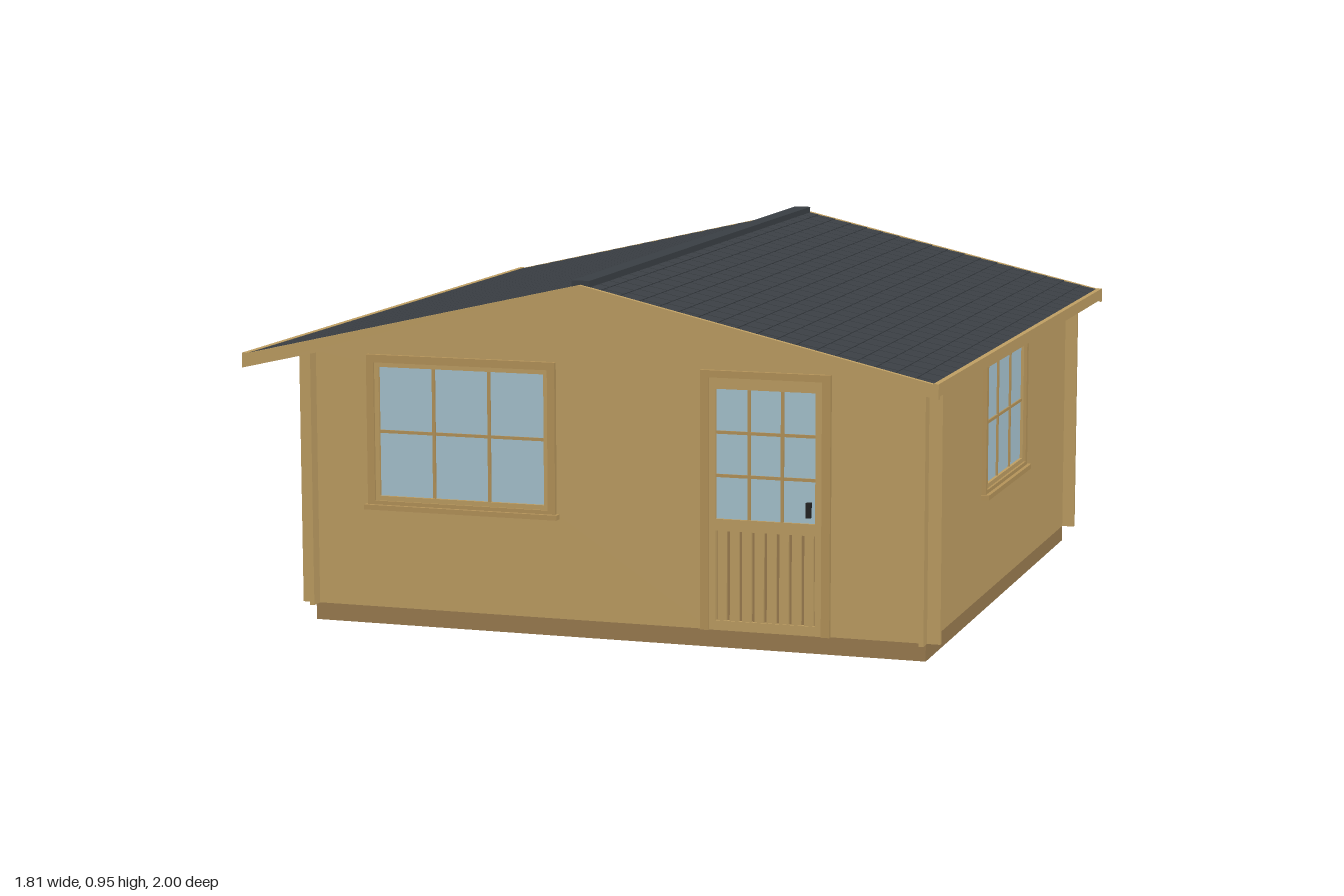
import * as THREE from 'three';
import { mergeGeometries } from 'three/addons/utils/BufferGeometryUtils.js';

const mat = (color) => new THREE.MeshStandardMaterial({ color });
const WOOD = mat(0xbf9f63), TRIM = mat(0xb5945a), BASE = mat(0x9b7c50), FLOOR = mat(0x6b5536);
const SHINGLE = mat(0x3a3f44), FELT = mat(0x2b2f33), GLASS = mat(0xa8c5d1), METAL = mat(0x222222);

const W = 0.823, T = 0.013, LOG = 0.857;          // wall half width, thickness, log end
const FRONT = 0.757, BACK = -0.893;               // outer wall faces
const Y0 = 0.045, RIDGE = 0.937, SLOPE = 0.23;    // floor line, roof apex and pitch

// box geometry given by its limits
function boxGeo(x0, x1, y0, y1, z0, z1) {
  return new THREE.BoxGeometry(x1 - x0, y1 - y0, z1 - z0)
    .translate((x0 + x1) / 2, (y0 + y1) / 2, (z0 + z1) / 2);
}

function add(parent, name, geo, material) {
  const mesh = new THREE.Mesh(Array.isArray(geo) ? mergeGeometries(geo) : geo, material);
  mesh.name = name;
  parent.add(mesh);
  return mesh;
}

// flat panel of the given outline with rectangular openings, thickness along z
function panel(points, openings, depth) {
  const toVec = (list) => list.map(([x, y]) => new THREE.Vector2(x, y));
  const shape = new THREE.Shape(toVec(points));
  for (const [x0, x1, y0, y1] of openings) {
    shape.holes.push(new THREE.Path(toVec([[x0, y0], [x0, y1], [x1, y1], [x1, y0]])));
  }
  return new THREE.ExtrudeGeometry(shape, { depth, bevelEnabled: false });
}

const rect = (x0, x1, y0, y1) => [[x0, y0], [x1, y0], [x1, y1], [x0, y1]];

// rectangular frame around an opening
const frame = (x0, x1, y0, y1, w, z0, z1) =>
  panel(rect(x0, x1, y0, y1), [[x0 + w, x1 - w, y0 + w, y1 - w]], z1 - z0).translate(0, 0, z0);

// pane with evenly spaced glazing bars
function glazing(parent, x0, x1, y0, y1, cols, rows) {
  add(parent, 'glass', boxGeo(x0, x1, y0, y1, -0.006, -0.002), GLASS);
  const bars = [], b = 0.004;
  for (let i = 1; i < cols; i++) {
    const x = x0 + (x1 - x0) * i / cols;
    bars.push(boxGeo(x - b, x + b, y0, y1, -0.01, 0.003));
  }
  for (let j = 1; j < rows; j++) {
    const y = y0 + (y1 - y0) * j / rows;
    bars.push(boxGeo(x0, x1, y - b, y + b, -0.01, 0.002));
  }
  add(parent, 'glazingBars', bars, TRIM);
}

// window with its wall face at z = 0
function makeWindow(name, hw, y0, y1) {
  const g = new THREE.Group();
  g.name = name;
  add(g, 'casing', frame(-hw, hw, y0, y1, 0.02, -0.002, 0.012), TRIM);
  add(g, 'sash', frame(-hw + 0.018, hw - 0.018, y0 + 0.018, y1 - 0.018, 0.014, -0.012, 0.006), WOOD);
  add(g, 'sill', boxGeo(-hw - 0.007, hw + 0.007, y0 - 0.003, y0 + 0.01, 0, 0.022), TRIM);
  glazing(g, -hw + 0.03, hw - 0.03, y0 + 0.03, y1 - 0.03, 3, 2);
  return g;
}

// door with a glazed upper half and a boarded lower half
function makeDoor() {
  const g = new THREE.Group();
  g.name = 'door';
  const top = 0.707, x0 = 0.237, x1 = 0.575;
  add(g, 'doorCasing', [
    boxGeo(x0, x0 + 0.022, Y0, top, -0.002, 0.012),
    boxGeo(x1 - 0.022, x1, Y0, top, -0.002, 0.012),
    boxGeo(x0 + 0.022, x1 - 0.022, top - 0.018, top, -0.002, 0.012),
  ], TRIM);
  add(g, 'doorLeaf', panel(rect(0.259, 0.553, Y0, 0.69),
    [[0.276, 0.535, 0.33, 0.66], [0.276, 0.535, 0.07, 0.3]], 0.016).translate(0, 0, -0.011), WOOD);
  glazing(g, 0.276, 0.535, 0.33, 0.66, 3, 3);
  const boards = [], n = 8, step = (0.535 - 0.276) / n;
  for (let i = 0; i < n; i++) {
    const x = 0.276 + i * step;
    boards.push(boxGeo(x + 0.004, x + step - 0.004, 0.07, 0.3, -0.01, 0.002));
  }
  add(g, 'doorBoards', boards, WOOD);
  add(g, 'doorBacking', boxGeo(0.276, 0.535, 0.07, 0.3, -0.011, -0.006), BASE);
  add(g, 'doorHandle', boxGeo(0.514, 0.526, 0.347, 0.385, 0.004, 0.018), METAL);
  return g;
}

function makeWalls() {
  const g = new THREE.Group();
  g.name = 'walls';
  const roofY = (x) => RIDGE - 0.02 - SLOPE * Math.abs(x);
  const gable = [[-LOG, Y0], [LOG, Y0], [LOG, roofY(LOG)], [0, roofY(0)], [-LOG, roofY(LOG)]];
  add(g, 'frontWall', panel(gable, [[-0.64, -0.175, 0.335, 0.68], [0.259, 0.553, Y0 + 0.001, 0.69]], T), WOOD)
    .position.z = FRONT - T;
  add(g, 'backWall', panel(gable, [], T), WOOD).position.z = BACK;
  // side walls run past the corners as log ends
  const side = rect(-0.794, 0.928, Y0, roofY(W));
  for (const s of [1, -1]) {
    const holes = s > 0 ? [[-0.15, 0.3, 0.335, 0.67]] : [];
    const wall = add(g, s > 0 ? 'leftWall' : 'rightWall', panel(side, holes, T), WOOD);
    wall.rotation.y = Math.PI / 2;
    wall.position.x = s > 0 ? W - T : -W;
  }
  return g;
}

function makeFoundation() {
  const g = new THREE.Group();
  g.name = 'foundation';
  const beams = [], n = 9, w = 0.036;
  for (let i = 0; i < n; i++) {
    const z = BACK + (FRONT - BACK - w) * i / (n - 1);
    beams.push(boxGeo(-0.82, 0.82, 0, Y0, z, z + w));
  }
  for (const x of [-0.82, 0.804]) beams.push(boxGeo(x, x + 0.016, 0, Y0, BACK + w, FRONT - w));
  add(g, 'floorBeams', beams, BASE);
  const boards = [], count = 40, step = 1.616 / count;
  for (let i = 0; i < count; i++) {
    const x = -0.808 + i * step;
    boards.push(boxGeo(x + 0.002, x + step - 0.002, Y0, Y0 + 0.01, BACK + T, FRONT - T));
  }
  add(g, 'floorBoards', boards, FLOOR);
  add(g, 'subfloor', boxGeo(-0.808, 0.808, Y0 + 0.008, Y0 + 0.014, BACK + T, FRONT - T), FLOOR);
  return g;
}

function makeRoof() {
  const g = new THREE.Group();
  g.name = 'roof';
  const angle = Math.atan(SLOPE), len = 0.893 / Math.cos(angle), half = 0.986;
  const rows = 18, course = len / rows, tab = 0.076;
  for (const s of [1, -1]) {
    const slope = new THREE.Group();
    slope.name = s > 0 ? 'leftSlope' : 'rightSlope';
    slope.position.y = RIDGE - 0.005;
    slope.rotation.z = -s * angle;
    add(slope, 'roofDeck', boxGeo(Math.min(0, s * len), Math.max(0, s * len), -0.018, 0, -half, half), FELT);
    // shingle courses, slots staggered from row to row
    const tabs = [];
    for (let r = 0; r < rows; r++) {
      for (let z = -half - (r % 2) * tab / 2; z < half; z += tab) {
        const z0 = Math.max(z + 0.003, -half), z1 = Math.min(z + tab - 0.003, half);
        if (z1 - z0 < 0.008) continue;
        const geo = boxGeo(-course / 2, course / 2, 0, 0.004, z0, z1);
        tabs.push(geo.rotateZ(s * 0.04).translate(s * (r + 0.5) * course, 0, 0));
      }
    }
    add(slope, 'shingles', tabs, SHINGLE);
    g.add(slope);
    // eave board
    add(g, 'eaveBoard', boxGeo(s * 0.898 - 0.007, s * 0.898 + 0.007, 0.702, 0.733, -1, 1), WOOD);
  }
  // gable boards at both ends
  const E = 0.905, drop = SLOPE * E, h = 0.034;
  const board = [[-E, RIDGE - drop], [-E, RIDGE - drop - h], [0, RIDGE - h],
    [E, RIDGE - drop - h], [E, RIDGE - drop], [0, RIDGE]];
  for (const z of [-1, 0.986]) add(g, 'gableBoard', panel(board, [], 0.014), WOOD).position.z = z;
  add(g, 'ridgeCap', boxGeo(-0.023, 0.023, 0.928, 0.947, -0.988, 0.988), SHINGLE);
  return g;
}

export function createModel() {
  const model = new THREE.Group();
  model.name = 'gardenCabin';
  const frontWindow = makeWindow('frontWindow', 0.2575, 0.307, 0.708);
  frontWindow.position.set(-0.4075, 0, FRONT);
  const sideWindow = makeWindow('sideWindow', 0.252, 0.31, 0.698);
  sideWindow.position.set(W, 0, -0.075);
  sideWindow.rotation.y = Math.PI / 2;
  const door = makeDoor();
  door.position.z = FRONT;
  model.add(makeFoundation(), makeWalls(), frontWindow, sideWindow, door, makeRoof());
  return model;
}
